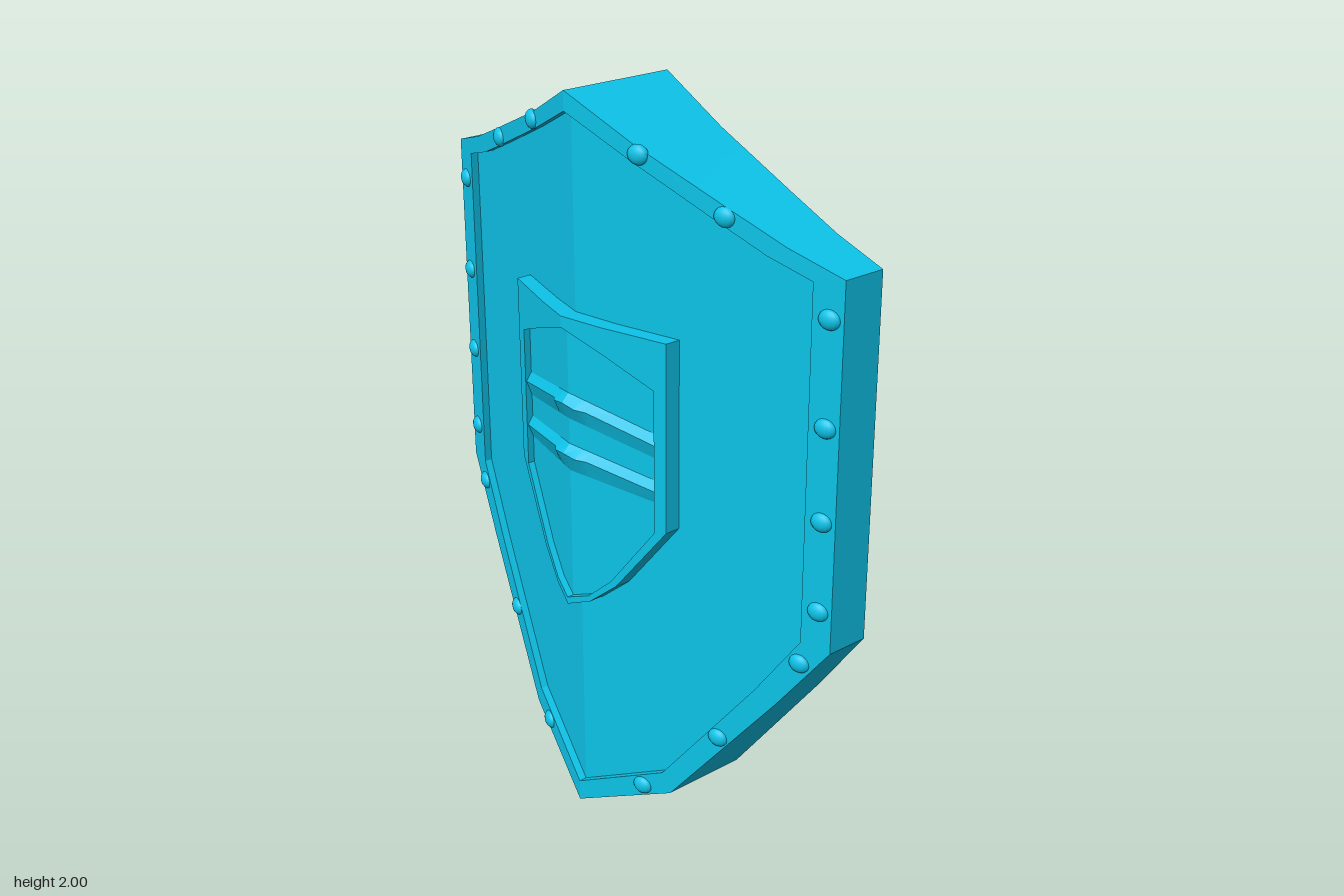
import * as THREE from 'three';
import { toCreasedNormals } from 'three/addons/utils/BufferGeometryUtils.js';

const material = new THREE.MeshStandardMaterial({ color: 0x0dc3e8 });

// Skin a list of equal-length point loops and close both ends with fans.
function loft(rings, startCentre, endCentre, crease = 0.4) {
  const n = rings[0].length;
  const points = rings.flat();
  const average = (ring) => [0, 1, 2].map((k) => ring.reduce((s, p) => s + p[k], 0) / n);
  const start = points.push(startCentre ?? average(rings[0])) - 1;
  const end = points.push(endCentre ?? average(rings.at(-1))) - 1;
  const index = [];
  const last = (rings.length - 1) * n;
  for (let j = 0; j < n; j++) {
    const k = (j + 1) % n;
    for (let i = 0; i < last; i += n) {
      index.push(i + j, i + n + k, i + k, i + j, i + n + j, i + n + k);
    }
    index.push(start, j, k, end, last + k, last + j);
  }
  const geometry = new THREE.BufferGeometry();
  geometry.setAttribute('position', new THREE.Float32BufferAttribute(points.flat(), 3));
  geometry.setIndex(index);
  return toCreasedNormals(geometry, crease);
}

function addMesh(parent, name, geometry) {
  const mesh = new THREE.Mesh(geometry, material);
  mesh.name = name;
  parent.add(mesh);
  return mesh;
}

// Mirrored outline, folded about x = 0: z = ridge - slope * |x|
function foldedRing(half, ridge, slope) {
  const mirrored = half.slice(1, -1).reverse().map(([x, y]) => [-x, y]);
  return [...half, ...mirrored].map(([x, y]) => [x, y, ridge - slope * Math.abs(x)]);
}

// Solid plate with a raised rim around a recessed field
function rimmedPlate(outer, inner, midY, back, rim, field) {
  return loft(
    [foldedRing(outer, ...back), foldedRing(outer, ...rim),
      foldedRing(inner, ...rim), foldedRing(inner, ...field)],
    [0, midY, back[0]], [0, midY, field[0]],
  );
}

export function createModel() {
  const model = new THREE.Group();
  model.name = 'shield';

  // Main body
  const outer = [[0, 2], [0.2, 1.9], [0.44, 1.8], [0.6, 1.735], [0.745, 1.69],
    [0.745, 0.74], [0.6, 0.54], [0.295, 0.145], [0, 0]];
  const inner = [[0, 1.95], [0.19, 1.86], [0.42, 1.76], [0.55, 1.705], [0.665, 1.67],
    [0.665, 0.745], [0.54, 0.56], [0.27, 0.2], [0, 0.06]];
  addMesh(model, 'body', rimmedPlate(outer, inner, 1.1, [0, 0], [0.317, 0.27], [0.295, 0.27]));

  // Rivets along the rim
  const rivets = new THREE.Group();
  rivets.name = 'rivets';
  model.add(rivets);
  const rivetGeometry = new THREE.SphereGeometry(1, 14, 10);
  const spots = [[0.205, 1.88], [0.437, 1.775], [0.708, 1.59], [0.708, 1.325], [0.708, 1.085],
    [0.708, 0.845], [0.663, 0.685], [0.438, 0.38], [0.207, 0.135]];
  for (const side of [-1, 1]) {
    for (const [x, y] of spots) {
      const rivet = addMesh(rivets, 'rivet', rivetGeometry);
      rivet.position.set(side * x, y, 0.315 - 0.27 * x);
      rivet.rotation.y = side * 0.26;
      rivet.scale.set(0.029, 0.025, 0.017);
    }
  }

  // Small emblem plate in the middle
  const emblem = new THREE.Group();
  emblem.name = 'emblem';
  model.add(emblem);
  const emblemOuter = [[0, 1.445], [0.12, 1.44], [0.3, 1.44], [0.3, 0.935],
    [0.15, 0.735], [0.07, 0.665], [0, 0.635]];
  const emblemInner = [[0, 1.415], [0.12, 1.37], [0.265, 1.31], [0.265, 0.925],
    [0.135, 0.745], [0.065, 0.68], [0, 0.655]];
  addMesh(emblem, 'emblemPlate',
    rimmedPlate(emblemOuter, emblemInner, 1.05, [0.28, 0.25], [0.342, 0.29], [0.323, 0.29]));

  // Two raised bands with a thicker centre knuckle
  const bands = [{ mid: [1.235, 1.165], tip: [1.185, 1.12] }, { mid: [1.095, 1.02], tip: [1.06, 1.0] }];
  for (const { mid, tip } of bands) {
    const rings = [-0.265, -0.065, -0.04, 0, 0.04, 0.065, 0.265].map((x) => {
      const t = Math.abs(x) / 0.265;
      const top = THREE.MathUtils.lerp(mid[0], tip[0], t);
      const bottom = THREE.MathUtils.lerp(mid[1], tip[1], t);
      const z = 0.323 - 0.29 * Math.abs(x);
      const lift = Math.abs(x) < 0.05 ? 0.021 + 0.15 * Math.abs(x) : 0.016;
      return [[x, top, z], [x, top, z - 0.02], [x, bottom, z - 0.02],
        [x, bottom, z], [x, top - 0.022, z + lift]];
    });
    addMesh(emblem, 'emblemBand', loft(rings));
  }

  // Handle: [outer z, outer y, inner z, inner y] down to the grip, then mirrored about y = 1.128
  const upper = [[0.01, 1.535, 0.01, 1.39], [-0.08, 1.525, -0.055, 1.395], [-0.18, 1.49, -0.11, 1.365],
    [-0.26, 1.325, -0.2, 1.26], [-0.305, 1.255, -0.235, 1.215], [-0.333, 1.195, -0.257, 1.165],
    [-0.345, 1.128, -0.265, 1.128]];
  const lower = upper.slice(0, -1).reverse().map(([a, b, c, d]) => [a, 2.256 - b, c, 2.256 - d]);
  const halfWidth = (z) => THREE.MathUtils.mapLinear(THREE.MathUtils.clamp(z, -0.23, -0.11), -0.11, -0.23, 0.028, 0.047);
  const handleRings = [...upper, ...lower].map(([oz, oy, iz, iy]) => {
    const o = halfWidth(oz), i = halfWidth(iz), c = -0.007;
    return [[c + o, oy, oz], [c - o, oy, oz], [c - i, iy, iz], [c + i, iy, iz]];
  });
  addMesh(model, 'handle', loft(handleRings));

  return model;
}
